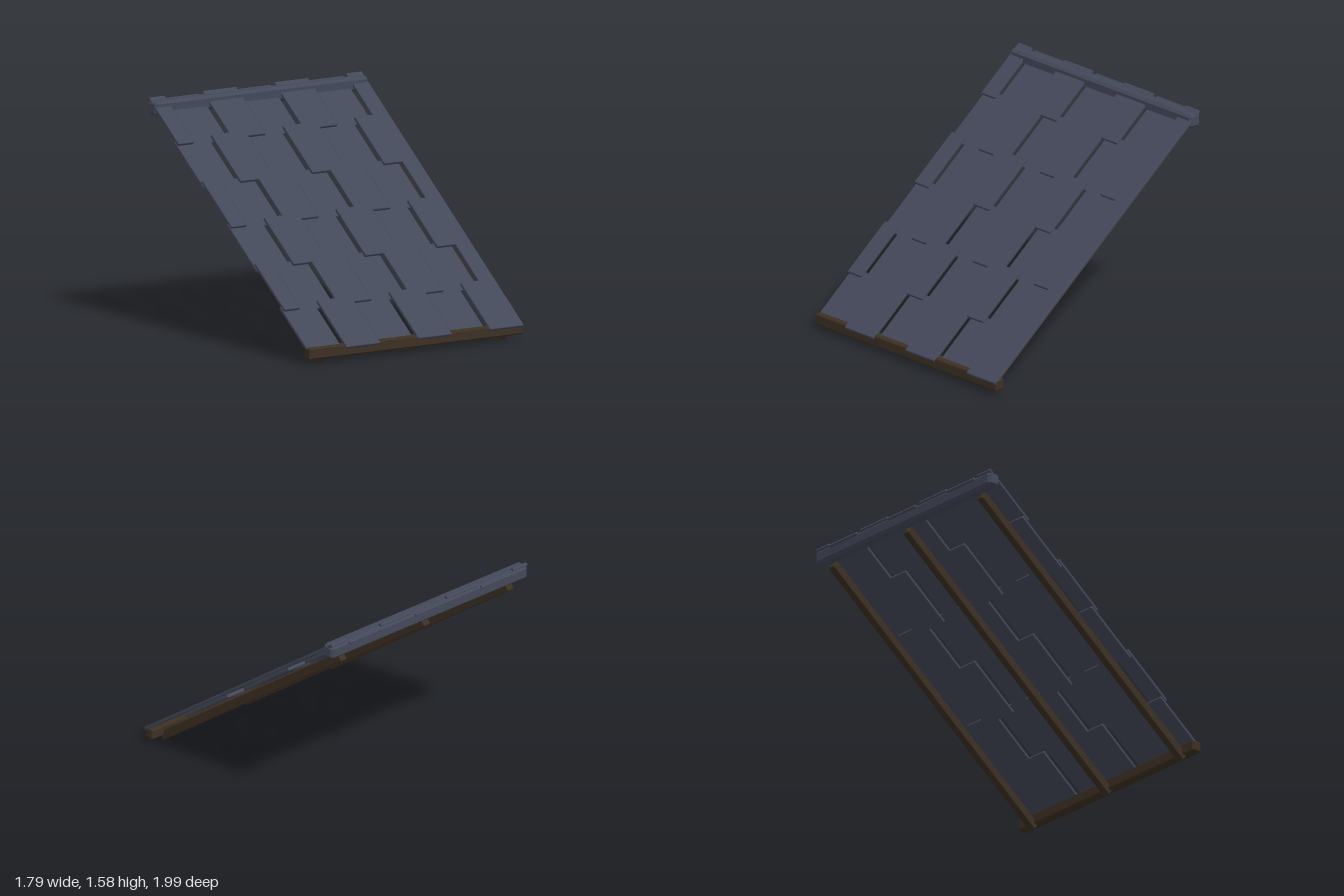
import * as THREE from 'three';
import { ConvexGeometry } from 'three/addons/geometries/ConvexGeometry.js';

const slate = new THREE.MeshStandardMaterial({ color: 0x434859 });
slate.name = 'slate';
const wood = new THREE.MeshStandardMaterial({ color: 0x3d3023 });
wood.name = 'darkWood';

// Box with every edge chamfered by c
function chamferBox(w, h, d, c) {
  const points = [];
  for (const x of [-1, 1]) for (const y of [-1, 1]) for (const z of [-1, 1]) {
    for (let axis = 0; axis < 3; axis++) {
      const inset = [0, 1, 2].map(i => (i === axis ? 0 : c));
      points.push(new THREE.Vector3(
        x * (w / 2 - inset[0]), y * (h / 2 - inset[1]), z * (d / 2 - inset[2])));
    }
  }
  return new ConvexGeometry(points);
}

function addPart(parent, name, size, chamfer, position, material) {
  const mesh = new THREE.Mesh(chamferBox(...size, chamfer), material);
  mesh.name = name;
  mesh.position.set(...position);
  parent.add(mesh);
  return mesh;
}

export function createModel() {
  const model = new THREE.Group();
  model.name = 'roofPanel';

  // Sloped frame: local -z runs up the slope, local y is its normal
  const slope = new THREE.Group();
  slope.name = 'slope';
  slope.position.y = 0.832;
  slope.rotation.x = THREE.MathUtils.degToRad(37);
  model.add(slope);

  // Six staggered rows of shingles, alternately in a raised and a low layer
  const half = 0.89, pitch = 0.3, gap = 0.018, thick = 0.024;
  const rowPitch = 0.402, length = 0.454, eave = 1.228;
  for (let row = 0; row < 6; row++) {
    const odd = row % 2;
    const count = odd ? 7 : 6;
    const start = odd ? -1.05 : -0.9;
    for (let i = 0; i < count; i++) {
      const x0 = Math.max(-half, start + i * pitch + gap / 2);
      const x1 = Math.min(half, start + (i + 1) * pitch - gap / 2);
      const raised = (i + odd) % 2 === 1;
      addPart(slope, raised ? 'raisedShingle' : 'lowShingle',
        [x1 - x0, thick, length], 0.004,
        [(x0 + x1) / 2, (raised ? 1 : -1) * thick / 2, eave - row * rowPitch - length / 2],
        slate);
    }
  }

  // Rafters under the shingles
  for (const x of [-0.76, 0, 0.76]) {
    addPart(slope, 'rafter', [0.056, 0.067, 2.345], 0.006, [x, -0.0775, 0.0545], wood);
  }

  // Level beams along the lower and upper edges
  addPart(model, 'eaveBeam', [1.786, 0.08, 0.076], 0.009, [0, 0.086, 0.943], wood);
  addPart(model, 'ridgeBeam', [1.786, 0.1, 0.1], 0.019, [0, 1.522, -0.938], slate);

  return model;
}
